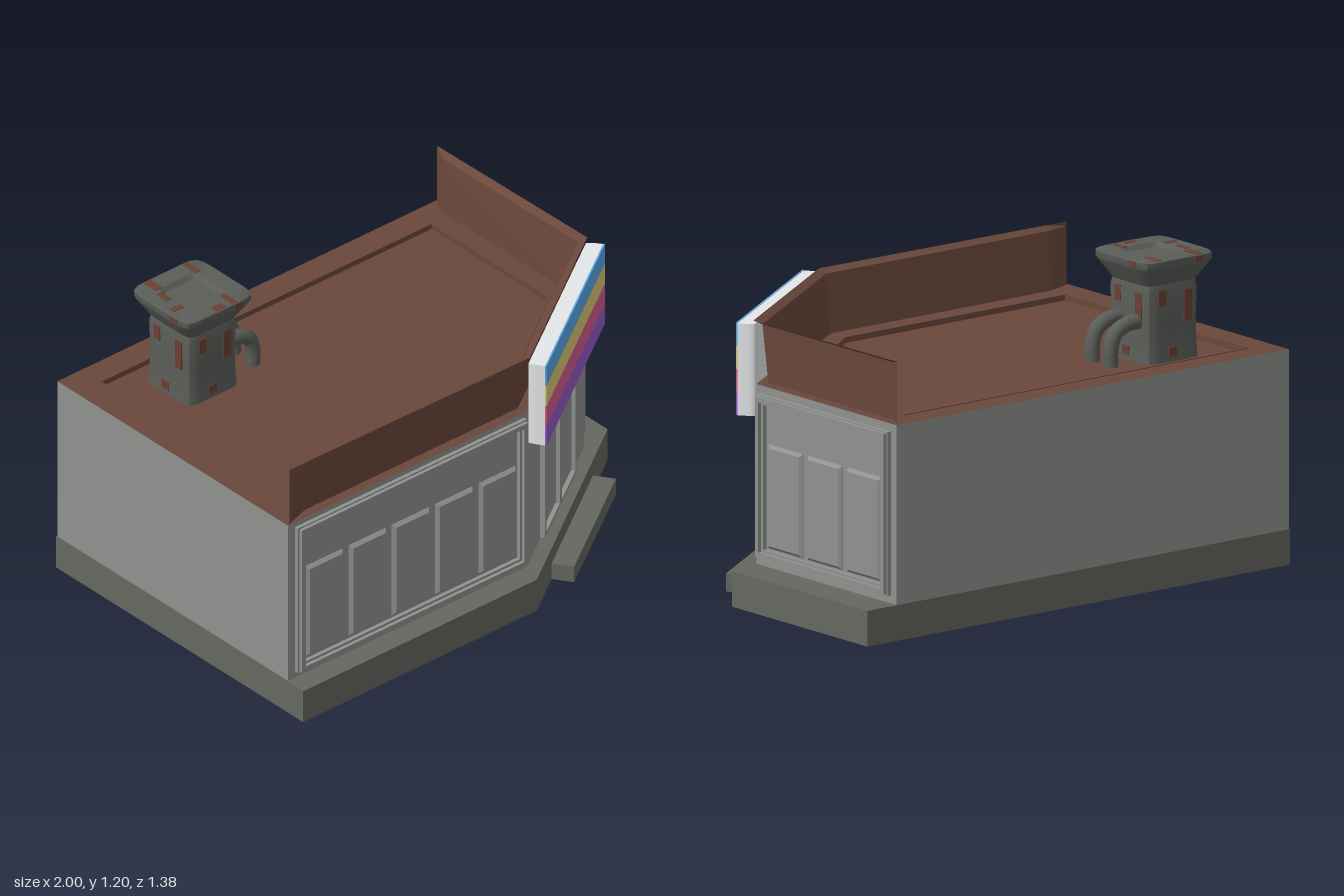
import * as THREE from 'three';
import { mergeVertices, toCreasedNormals } from 'three/addons/utils/BufferGeometryUtils.js';

const mat = (name, color, side = THREE.FrontSide) => {
  const m = new THREE.MeshStandardMaterial({ color, side });
  m.name = name;
  return m;
};

export function createModel() {
  const model = new THREE.Group();
  model.name = 'cornerShop';
  const wall = mat('wallGrey', 0x8f928f);
  const stone = mat('plinthGrey', 0x656760);
  const brown = mat('roofBrown', 0x6a483b, THREE.DoubleSide);
  const metal = mat('ventGrey', 0x5a5d58);
  const rust = mat('rust', 0x6c4033);
  const white = mat('signWhite', 0xf0f2f3);
  const stripes = [
    mat('stripePurple', 0x945ac8), mat('stripePink', 0xd45c8d),
    mat('stripeYellow', 0xdac872), mat('stripeBlue', 0x5eaeee),
  ];

  const add = (parent, name, geometry, material) => {
    const mesh = new THREE.Mesh(geometry, material);
    mesh.name = name;
    parent.add(mesh);
    return mesh;
  };
  const box = (parent, name, material, [x0, x1], [y0, y1], [z0, z1]) => {
    const mesh = add(parent, name, new THREE.BoxGeometry(x1 - x0, y1 - y0, z1 - z0), material);
    mesh.position.set((x0 + x1) / 2, (y0 + y1) / 2, (z0 + z1) / 2);
  };

  // Floor plans are [x, z] corners, extruded upwards from y0 to y1
  const outline = (pts) => pts.map(([x, z]) => new THREE.Vector2(x, -z));
  const slab = (name, material, pts, y0, y1, hole) => {
    const shape = new THREE.Shape(outline(pts));
    if (hole) shape.holes.push(new THREE.Path(outline(hole)));
    const g = new THREE.ExtrudeGeometry(shape, { depth: y1 - y0, bevelEnabled: false });
    g.rotateX(-Math.PI / 2).translate(0, y0, 0);
    add(model, name, g, material);
  };
  const basePlan = [[-1, -0.69], [1, -0.69], [1, 0.1], [0.14, 0.69], [-1, 0.69]];
  const bodyPlan = [[-0.995, -0.688], [0.86, -0.688], [0.86, 0.13], [0.17, 0.6], [-0.995, 0.6]];
  const beadPlan = [[-0.888, -0.588], [0.743, -0.588], [0.743, 0.074], [0.163, 0.483], [-0.888, 0.483]];
  const recess = [[-0.876, -0.576], [0.731, -0.576], [0.731, 0.068], [0.159, 0.471], [-0.876, 0.471]];
  slab('plinth', stone, basePlan, 0, 0.135);
  slab('walls', wall, bodyPlan, 0.135, 0.792);
  slab('roofFloor', brown, recess, 0.792, 0.796);
  slab('roofRim', [brown, wall], bodyPlan, 0.792, 0.815, beadPlan);
  slab('roofBead', brown, beadPlan, 0.792, 0.818, recess);

  // Parapet set back from the walls, flared out at its ends and along its lip
  const foot = [[-0.985, 0.595], [-0.88, 0.56], [0.16, 0.56], [0.815, 0.115], [0.815, -0.62], [0.855, -0.685]];
  const neck = [[-0.985, 0.598], [-0.88, 0.575], [0.165, 0.58], [0.835, 0.125], [0.83, -0.63], [0.855, -0.685]];
  const lip = [[-0.985, 0.597], [-0.88, 0.598], [0.175, 0.61], [0.866, 0.14], [0.856, -0.63], [0.855, -0.685]];
  const pos = [], idx = [];
  [[foot, 0.812], [neck, 1.038], [lip, 1.054]].forEach(([ring, y]) =>
    ring.forEach(([x, z]) => pos.push(x, y, z)));
  for (let row = 0; row < 2; row++) {
    for (let i = 0; i < 5; i++) {
      const a = row * 6 + i, b = a + 6;
      idx.push(a, a + 1, b + 1, a, b + 1, b);
    }
  }
  let strip = new THREE.BufferGeometry();
  strip.setAttribute('position', new THREE.Float32BufferAttribute(pos, 3));
  strip.setIndex(idx);
  strip = strip.toNonIndexed();
  strip.computeVertexNormals();
  add(model, 'parapet', strip, brown);

  // Each facade is a group whose local +z faces out of its wall
  const facade = (name, x, z, angle) => {
    const g = new THREE.Group();
    g.name = name;
    g.position.set(x, 0, z);
    g.rotation.y = angle;
    model.add(g);
    return g;
  };
  const rect = ([x0, y0, x1, y1]) =>
    [[x0, y0], [x1, y0], [x1, y1], [x0, y1]].map((p) => new THREE.Vector2(...p));
  const inset = ([x0, y0, x1, y1], d) => [x0 + d, y0 + d, x1 - d, y1 - d];
  const plate = (parent, name, r, holes, depth) => {
    const shape = new THREE.Shape(rect(r));
    holes.forEach((h) => shape.holes.push(new THREE.Path(rect(h))));
    add(parent, name, new THREE.ExtrudeGeometry(shape, { depth, bevelEnabled: false }), wall);
  };
  // Raised panel with sloping edges
  const panel = (parent, name, r, height) => {
    const g = new THREE.ExtrudeGeometry(new THREE.Shape(rect(inset(r, 0.012))), {
      depth: 0.002, bevelThickness: height, bevelSize: 0.012, bevelSegments: 1,
    });
    add(parent, name, g, wall);
  };
  const shopWindow = (parent, r, x0, x1, count) => {
    plate(parent, 'windowSurround', r, [inset(r, 0.036)], 0.016);
    plate(parent, 'windowFrame', inset(r, 0.006), [inset(r, 0.026)], 0.03);
    const gap = 0.03;
    const w = (x1 - x0 - gap * (count - 1)) / count;
    for (let i = 0; i < count; i++) {
      const x = x0 + i * (w + gap);
      panel(parent, 'windowPane', [x, 0.208, x + w, 0.602], 0.012);
    }
  };
  shopWindow(facade('frontWindow', 0, 0.6, 0), [-0.96, 0.16, 0.157, 0.795], -0.912, 0.114, 5);
  shopWindow(facade('sideWindow', 0.86, 0, Math.PI / 2), [-0.108, 0.165, 0.655, 0.785], -0.055, 0.607, 3);

  // Angled corner with double door, doorstep and striped sign
  const corner = facade('cornerEntrance', 0.515, 0.365, Math.atan2(0.47, 0.69));
  const leaves = [[-0.21, 0.16, -0.014, 0.62], [0.014, 0.16, 0.21, 0.62]];
  plate(corner, 'doorFrame', [-0.23, 0.145, 0.23, 0.64], leaves, 0.02);
  leaves.forEach((leaf) => panel(corner, 'doorLeaf', inset(leaf, 0.012), 0.01));
  box(corner, 'doorstep', stone, [-0.275, 0.335], [0, 0.068], [0.02, 0.142]);

  // Sign backing with rounded ends, striped on its front
  const back = new THREE.Shape();
  back.moveTo(-0.436, -0.074);
  back.lineTo(0.412, -0.074);
  back.quadraticCurveTo(0.412, -0.02, 0.4, -0.01);
  back.lineTo(-0.432, -0.01);
  back.quadraticCurveTo(-0.436, -0.02, -0.436, -0.074);
  const backing = new THREE.ExtrudeGeometry(back, { depth: 0.348, bevelEnabled: false, curveSegments: 6 });
  backing.rotateX(-Math.PI / 2).translate(0, 0.69, 0);
  add(corner, 'signBoard', backing, white);
  stripes.forEach((m, i) => {
    const h = 0.35 / 4;
    box(corner, 'signStripe', m, [-0.436, 0.412], [0.69 + i * h, 0.69 + (i + 1) * h], [0.074, 0.08]);
  });

  // Roof vent: lathe squared off into a rounded square section
  const vent = new THREE.Group();
  vent.name = 'roofVent';
  vent.position.set(-0.605, 0, -0.38);
  model.add(vent);
  const profile = [[0.126, 0.79], [0.122, 0.85], [0.12, 0.95], [0.123, 1.06], [0.118, 1.09],
    [0.16, 1.157], [0.166, 1.168], [0.166, 1.191], [0.162, 1.195], [0.092, 1.195],
    [0.078, 1.178], [0, 1.178]].map((p) => new THREE.Vector2(...p));
  let g = new THREE.LatheGeometry(profile, 48);
  const p = g.attributes.position;
  for (let i = 0; i < p.count; i++) {
    const x = p.getX(i), z = p.getZ(i), r = Math.hypot(x, z);
    if (r < 1e-6) continue;
    const k = r / Math.pow(Math.abs(x) ** 8 + Math.abs(z) ** 8, 1 / 8);
    p.setX(i, x * k);
    p.setZ(i, z * k);
  }
  g.deleteAttribute('uv');
  g.deleteAttribute('normal');
  g = toCreasedNormals(mergeVertices(g), 0.7);
  add(vent, 'ventStack', g, metal);

  // Twin pipes bending down to the roof
  for (const z of [-0.053, 0.053]) {
    const path = new THREE.CatmullRomCurve3([[0.09, 0.95], [0.17, 0.948], [0.225, 0.92],
      [0.245, 0.87], [0.247, 0.8]].map(([x, y]) => new THREE.Vector3(x, y, z)));
    add(vent, 'ventPipe', new THREE.TubeGeometry(path, 20, 0.029, 14), metal);
  }

  // Rust patches on the rim
  const rimRust = [[-0.085, -0.125, 0.035, 0.07], [-0.105, -0.04, 0.025, 0.06], [0.1, -0.12, 0.025, 0.07],
    [0.065, 0.125, 0.025, 0.07], [0, 0.145, 0.05, 0.03], [-0.12, 0.05, 0.05, 0.025]];
  rimRust.forEach(([x, z, w, d]) =>
    box(vent, 'rimRust', rust, [x - w / 2, x + w / 2], [1.193, 1.197], [z - d / 2, z + d / 2]));
  // Rust streaks on the four sides of the stack
  for (let i = 0; i < 4; i++) {
    const face = new THREE.Group();
    face.name = 'rustStreaks';
    face.rotation.y = i * Math.PI / 2;
    vent.add(face);
    box(face, 'streak', rust, [0.045, 0.08], [0.94, 1.06], [0.117, 0.125]);
    box(face, 'streak', rust, [-0.075, -0.04], [1.01, 1.07], [0.117, 0.125]);
    box(face, 'footStreak', rust, [-0.03, 0.01], [0.815, 0.85], [0.118, 0.126]);
    box(face, 'capStreak', rust, [0.06, 0.1], [1.169, 1.19], [0.163, 0.168]);
  }
  return model;
}
